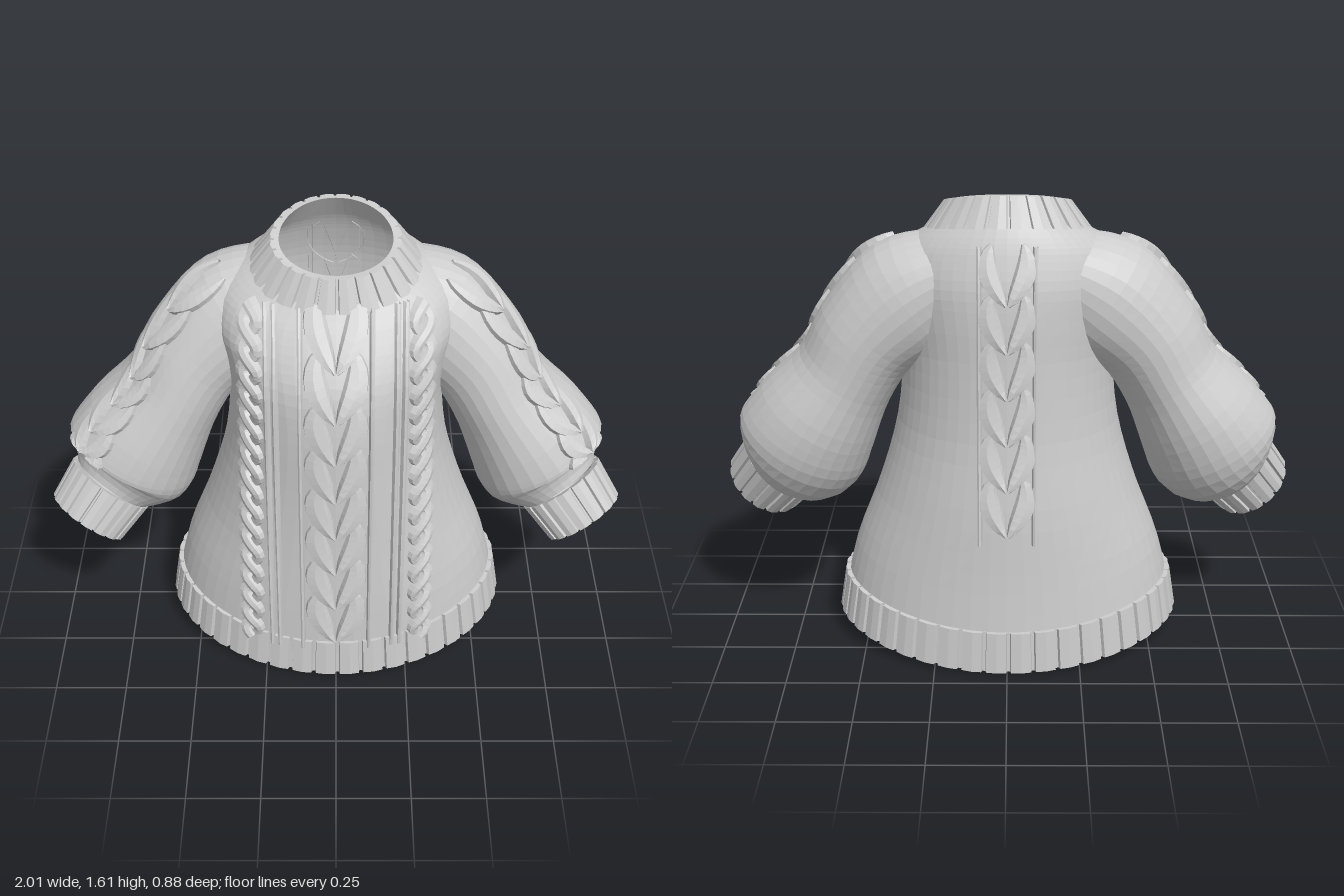
import * as THREE from 'three';

const knit = new THREE.MeshStandardMaterial({ color: 0xcccccc, flatShading: true, side: THREE.DoubleSide });
knit.name = 'grey knit';

const { sin, cos, PI } = Math;
const V3 = (x, y, z) => new THREE.Vector3(x, y, z);
const mix = THREE.MathUtils.lerp;
const steps = (n, a = 0, b = 1) => Array.from({ length: n + 1 }, (_, i) => mix(a, b, i / n));

// Smooth interpolation through rows of numbers, t from 0 to 1
function sample(rows, t) {
  const f = t * (rows.length - 1), i = Math.min(Math.floor(f), rows.length - 2), k = f - i;
  const row = j => rows[Math.max(0, Math.min(rows.length - 1, j))];
  return rows[0].map((_, c) => {
    const [p, q, r, s] = [row(i - 1)[c], row(i)[c], row(i + 1)[c], row(i + 2)[c]];
    return q + 0.5 * k * (r - p + k * (2 * p - 5 * q + 4 * r - s + k * (3 * (q - r) + s - p)));
  });
}

// Grid surface fn(u, v); keep(point) may drop hidden triangles, side -1 mirrors in x
function grid(us, vs, fn, side = 1, keep = null) {
  const pts = us.map(u => vs.map(v => fn(u, v))), out = [];
  const tri = (a, b, c) => {
    const mid = V3(0, 0, 0).add(a).add(b).add(c).divideScalar(3);
    if (keep && !keep(mid)) return;
    for (const p of side > 0 ? [a, b, c] : [a, c, b]) out.push(p.x * side, p.y, p.z);
  };
  for (let i = 0; i < us.length - 1; i++) for (let j = 0; j < vs.length - 1; j++) {
    const a = pts[i][j], b = pts[i + 1][j], c = pts[i + 1][j + 1], d = pts[i][j + 1];
    tri(a, b, c);
    tri(a, c, d);
  }
  const g = new THREE.BufferGeometry();
  g.setAttribute('position', new THREE.Float32BufferAttribute(out, 3));
  g.computeVertexNormals();
  return g;
}

// Body rings: front y, back y, half width, front depth, back depth, lift at the sides
const bodyRows = [
  [0.08, 0.08, 0.585, 0.415, 0.415, 0.07],
  [0.30, 0.30, 0.535, 0.41, 0.395, 0.05],
  [0.55, 0.55, 0.45, 0.40, 0.378, 0.02],
  [0.80, 0.80, 0.385, 0.392, 0.348, 0],
  [1.00, 1.04, 0.365, 0.382, 0.332, 0],
  [1.15, 1.20, 0.385, 0.355, 0.325, 0],
  [1.25, 1.32, 0.41, 0.305, 0.312, 0],
  [1.33, 1.42, 0.39, 0.25, 0.285, 0],
  [1.38, 1.48, 0.34, 0.21, 0.262, 0],
  [1.42, 1.53, 0.26, 0.18, 0.235, 0],
];
function bodyPoint(a, t, d = 0) {
  const [yf, yb, rx, zf, zb, lift] = sample(bodyRows, t), c = cos(a);
  return V3((rx + d) * sin(a), mix(yb, yf, (1 + c) / 2) + lift * sin(a) ** 2, ((c > 0 ? zf : zb) + d) * c);
}
function solveBody(y, angleAt) {
  let lo = 0, hi = 1;
  for (let i = 0; i < 18; i++) {
    const t = (lo + hi) / 2;
    if (bodyPoint(angleAt(t), t).y < y) lo = t; else hi = t;
  }
  return lo;
}
// Maps flat pattern coordinates on to the front (or back) of the body
const onBody = back => (x, y, d) => {
  const angleAt = t => {
    const a = Math.asin(x / sample(bodyRows, t)[2]);
    return back ? PI + a : a;
  };
  const t = solveBody(y, angleAt);
  return bodyPoint(angleAt(t), t, d);
};
function insideBody(p) {
  const a = Math.atan2(p.x / 0.4, p.z / 0.35), t = solveBody(p.y, () => a);
  if (t > 0.99) return false;
  const [, , rx, zf, zb] = sample(bodyRows, t);
  return Math.hypot(p.x / rx, p.z / (p.z > 0 ? zf : zb)) < 0.9;
}

// Sleeve sections: centre x, y, z, radius in the front plane, radius in depth
const sleeveRows = [
  [0.20, 1.32, -0.08, 0.17, 0.17],
  [0.33, 1.24, -0.07, 0.215, 0.195],
  [0.47, 1.11, -0.05, 0.19, 0.21],
  [0.56, 0.96, -0.03, 0.18, 0.225],
  [0.67, 0.79, -0.015, 0.225, 0.25],
  [0.74, 0.67, 0.01, 0.235, 0.235],
  [0.80, 0.60, 0.075, 0.145, 0.145],
];
function frame(T) {
  T.normalize();
  const U = V3(-T.y, T.x, 0).normalize();
  return [U, T.clone().cross(U)];
}
function sleeveFrame(t) {
  const a = sample(sleeveRows, Math.max(0, t - 0.02)), b = sample(sleeveRows, Math.min(1, t + 0.02));
  return frame(V3(b[0] - a[0], b[1] - a[1], (b[2] - a[2]) * 0.6));
}
function sleevePoint(a, t, d = 0) {
  const [x, y, z, ru, rv] = sample(sleeveRows, t), [U, V] = sleeveFrame(t);
  return V3(x, y, z).addScaledVector(U, (ru + d) * cos(a)).addScaledVector(V, (rv + d) * sin(a));
}
const onSleeve = (x, y, d) => sleevePoint(mix(0.35, 0.85, -y) - x / 0.22, -y, d);
function insideSleeve(p) {
  const q = V3(Math.abs(p.x), p.y, p.z);
  return steps(30, 0.1, 0.6).some(t => {
    const [x, y, z, ru, rv] = sample(sleeveRows, t);
    return q.distanceTo(V3(x, y, z)) < Math.min(ru, rv) * 0.85;
  });
}

// Ribbed band with thickness: point(angle, height, outward offset)
function band(ribs, point, thick, side = 1) {
  const us = [];
  for (let i = 0; i < ribs; i++) for (const [k, h] of [[0, 0], [0.12, 0], [0.16, 1], [0.58, 1.25], [0.96, 1]])
    us.push([(i + k) / ribs * 2 * PI, h]);
  us.push([2 * PI, 0]);
  const loop = [[0, 0], [0, 1], [1, 1], [1, 0], [0, 0]];
  return grid(us, loop, ([a, h], [s, o]) => point(a, s, o ? h * 0.012 : -thick), side);
}

// Raised strand along a flat path, laid on a mapped surface
function strand(map, path, width, height, n, side = 1) {
  const across = [[-1, -0.006], [-0.75, 0.8], [0, 1], [0.75, 0.8], [1, -0.006]];
  return grid(across, steps(n), ([v, h], u) => {
    const [x0, y0] = path(u - 0.01), [x1, y1] = path(u + 0.01), [x, y] = path(u);
    const l = Math.hypot(x1 - x0, y1 - y0), w = width(u) * v;
    return map(x + (y1 - y0) / l * w, y - (x1 - x0) / l * w, h > 0 ? h * height(u) : h);
  }, side);
}

export function createModel() {
  const model = new THREE.Group();
  model.name = 'sweater';
  const group = name => {
    const g = new THREE.Group();
    g.name = name;
    model.add(g);
    return g;
  };
  const add = (parent, name, geometry) => {
    const m = new THREE.Mesh(geometry, knit);
    m.name = name;
    parent.add(m);
  };

  // Column of heart-shaped cable stitches, points downward
  const leafWidth = w => u => w * Math.max(0.04, sin(PI * Math.min(1, Math.max(0, u)))) ** 0.6;
  const hearts = (parent, map, tips, size, side = 1) => {
    for (const tip of tips) for (const s of [-1, 1]) {
      const path = u => [s * size * (0.04 + 0.6 * sin(PI * 0.72 * u)), tip + 1.9 * size * u];
      add(parent, 'cableStitch', strand(map, path, leafWidth(size * 0.38), u => 0.034 - 0.022 * u, 8, side));
    }
  };
  const ridge = (parent, map, x, bottom, top) =>
    add(parent, 'ridge', strand(map, u => [x, mix(bottom, top, u)], () => 0.008, () => 0.018, 28));

  // Body, open at hem, neck and armholes
  add(model, 'body', grid(steps(56, 0, 2 * PI), steps(30), bodyPoint, 1, p => !insideSleeve(p)));

  // Hem and collar
  add(model, 'hem', band(44, (a, s, d) => V3(
    (mix(0.595, 0.572, s) + d) * sin(a),
    0.145 * s + 0.07 * sin(a) ** 2,
    (mix(0.42, 0.41, s) + d) * cos(a)), 0.012));
  add(model, 'collar', band(24, (a, s, d) => {
    const c = cos(a);
    return V3((mix(0.275, 0.2, s) + d) * sin(a),
      mix(mix(1.515, 1.395, (1 + c) / 2), mix(1.61, 1.5, (1 + c) / 2), s),
      (c > 0 ? mix(0.195, 0.155, s) : mix(0.245, 0.185, s)) * c + d * c);
  }, 0.014));

  // Front pattern
  const front = group('frontPattern'), onFront = onBody(false);
  hearts(front, onFront, steps(7, 0.17, 1.25), 0.11);
  for (const s of [-1, 1]) {
    for (const x of [0.115, 0.195, 0.222]) ridge(front, onFront, s * x, 0.12, 1.41);
    for (const phase of [0, PI]) {
      const path = u => [s * (0.295 - 0.02 * u + 0.024 * sin(u * 16 * PI + phase)), mix(0.13, 1.4, u)];
      const weave = u => 0.02 + 0.008 * cos(u * 16 * PI + phase);
      add(front, 'twistedCable', strand(onFront, path, () => 0.019, weave, 96));
    }
  }

  // Back pattern
  const back = group('backPattern'), onBack = onBody(true);
  hearts(back, onBack, steps(5, 0.5, 1.28), 0.1);
  for (const x of [-0.09, 0.09]) ridge(back, onBack, x, 0.46, 1.46);

  // Sleeves with cables and cuffs
  const cuffTop = V3(0.80, 0.60, 0.07), cuffEnd = V3(0.885, 0.49, 0.125);
  const [U, V] = frame(cuffEnd.clone().sub(cuffTop));
  const cuffPoint = (a, s, d) => cuffTop.clone().lerp(cuffEnd, s)
    .addScaledVector(U, (mix(0.145, 0.132, s) + d) * cos(a))
    .addScaledVector(V, (mix(0.145, 0.132, s) + d) * sin(a));
  for (const side of [1, -1]) {
    const arm = group(side > 0 ? 'leftSleeve' : 'rightSleeve');
    add(arm, 'sleeve', grid(steps(30, 0, 2 * PI), steps(26), sleevePoint, side, p => !insideBody(p)));
    hearts(arm, onSleeve, steps(6, -0.88, -0.27), 0.085, side);
    add(arm, 'cuff', band(16, cuffPoint, 0.012, side));
  }
  return model;
}
